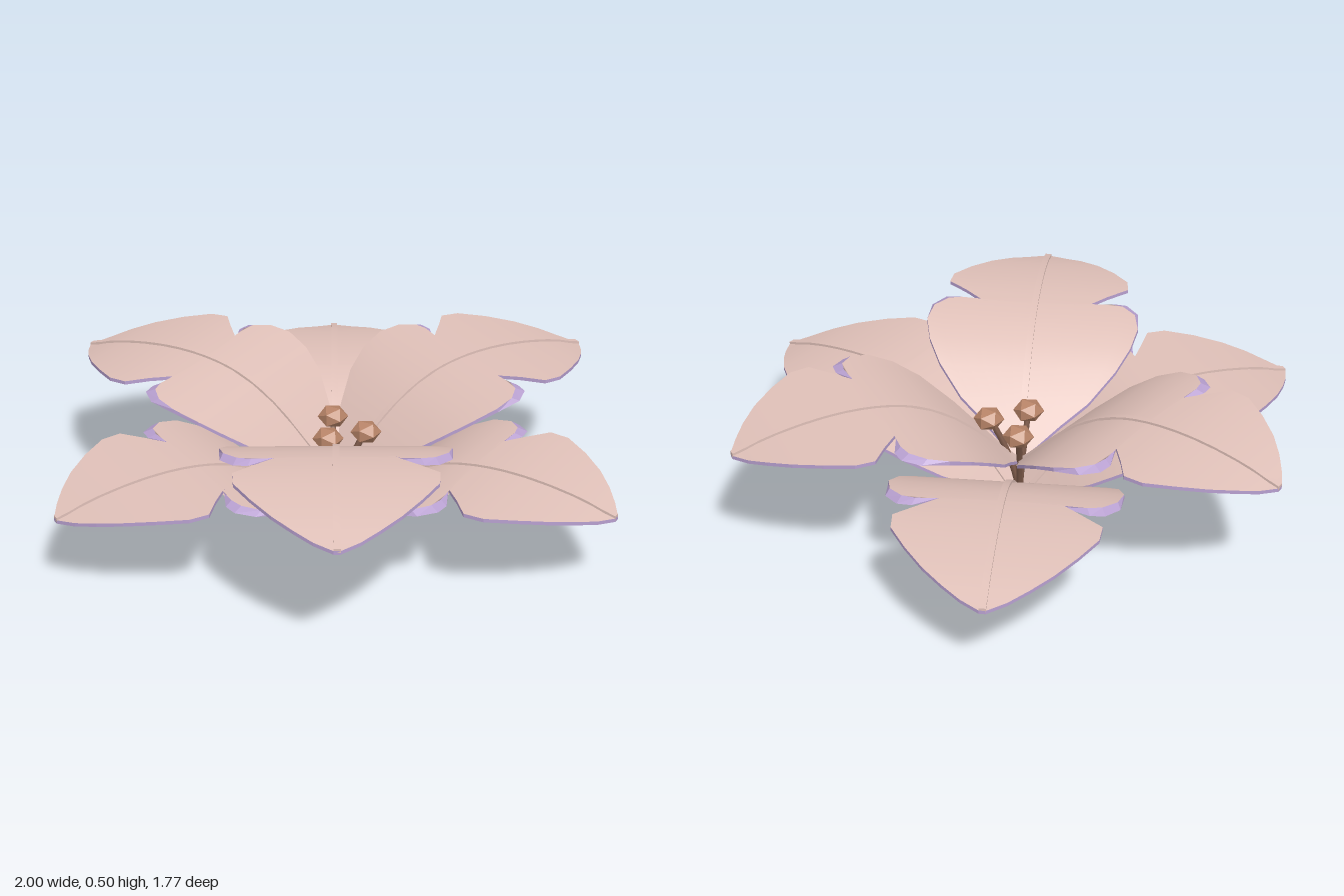
import * as THREE from 'three';

const mat = (name, color, side = THREE.FrontSide) => {
  const m = new THREE.MeshStandardMaterial({ color, side });
  m.name = name;
  return m;
};
const petalPink = mat('petalPink', 0xdfc0b8);
const rimLavender = mat('rimLavender', 0xb8a0d0, THREE.DoubleSide);
const antherBrown = mat('antherBrown', 0xb88468);
const filamentBrown = mat('filamentBrown', 0x7d5a4a);

// height of a petal along its length, in steps of a tenth
const heights = [0.012, 0.1, 0.195, 0.265, 0.31, 0.332, 0.34, 0.337, 0.325, 0.305, 0.275];
const profile = new THREE.SplineCurve(heights.map((y, i) => new THREE.Vector2(i / 10, y)));
const heightAt = (r) => profile.getPoint(Math.min(1, Math.max(0, r))).y;

// half a petal: [midrib distance, edge distance, edge half width, rim flare]
const petalSections = [
  [0, 0, 0.01, 0], [0.05, 0.04, 0.06, 0], [0.1, 0.09, 0.13, 0], [0.16, 0.15, 0.22, 0],
  [0.24, 0.24, 0.305, 0], [0.32, 0.32, 0.35, 0], [0.4, 0.4, 0.37, 0.004],
  [0.45, 0.47, 0.355, 0.025], [0.49, 0.515, 0.31, 0.03], [0.505, 0.525, 0.265, 0.025],
  [0.515, 0.51, 0.185, 0], [0.56, 0.575, 0.255, 0], [0.62, 0.63, 0.32, 0],
  [0.69, 0.695, 0.315, 0], [0.77, 0.78, 0.26, 0], [0.85, 0.86, 0.195, 0],
  [0.92, 0.92, 0.13, 0], [0.965, 0.965, 0.07, 0], [1, 1, 0.01, 0],
];
const ribSections = Array.from({ length: 21 }, (_, i) => {
  const r = 0.04 + 0.96 * i / 20;
  return [r, r, 0.011, 0];
});

function makeGeometry(points, index) {
  const g = new THREE.BufferGeometry();
  g.setAttribute('position', new THREE.Float32BufferAttribute(points, 3));
  g.setIndex(index);
  return g;
}

// curved sheet with an upper and a lower face, plus the strip around its edge
function sheet(sections, columns, lift, thickness) {
  const points = [], index = [];
  const stride = columns + 1, count = sections.length * stride;
  for (const drop of [0, thickness]) {
    for (const [rib, edge, width] of sections) {
      for (let j = 0; j <= columns; j++) {
        const t = (2 * j) / columns - 1;
        const r = rib + (edge - rib) * Math.abs(t);
        points.push(r, heightAt(r) + lift - drop, t * width);
      }
    }
  }
  for (let i = 0; i < sections.length - 1; i++) {
    for (let j = 0; j < columns; j++) {
      const a = i * stride + j, b = a + 1, c = a + stride, d = c + 1;
      index.push(a, b, c, b, d, c);
      index.push(a + count, c + count, b + count, b + count, c + count, d + count);
    }
  }
  const faces = makeGeometry(points, index);
  faces.computeVertexNormals();

  // edge strip runs out along one side, around the tip, and back
  const loop = [...sections.map((s) => [s, 1]), ...[...sections].reverse().map((s) => [s, -1])];
  const rimPoints = [], rimIndex = [];
  loop.forEach(([[, edge, width, flare], side], i) => {
    const y = heightAt(edge) + lift;
    rimPoints.push(edge, y, side * width);
    rimPoints.push(edge + flare, y - thickness, side * (width + flare * 0.4));
    const a = i * 2, b = ((i + 1) % loop.length) * 2;
    rimIndex.push(a, a + 1, b, b, a + 1, b + 1);
  });
  const rim = makeGeometry(rimPoints, rimIndex).toNonIndexed();
  rim.computeVertexNormals();
  return { faces, rim };
}

function add(parent, name, geometry, material) {
  const mesh = new THREE.Mesh(geometry, material);
  mesh.name = name;
  parent.add(mesh);
  return mesh;
}

export function createModel() {
  const flower = new THREE.Group();
  flower.name = 'flower';
  const blade = sheet(petalSections, 12, 0, 0.012);
  const rib = sheet(ribSections, 2, 0.008, 0.014);
  const ribSide = petalPink.clone();
  ribSide.side = THREE.DoubleSide;
  ribSide.name = 'ribPink';

  // two whorls of three petals, the upper one turned by half a step
  const whorls = [
    { name: 'lowerPetal', length: 1.013, y: 0, turn: 0 },
    { name: 'upperPetal', length: 0.987, y: 0.155, turn: Math.PI / 3 },
  ];
  for (const w of whorls) {
    for (let k = 0; k < 3; k++) {
      const petal = new THREE.Group();
      petal.name = w.name;
      add(petal, 'petalBlade', blade.faces, petalPink);
      add(petal, 'petalRim', blade.rim, rimLavender);
      add(petal, 'midrib', rib.faces, petalPink);
      add(petal, 'midribSides', rib.rim, ribSide);
      petal.position.set(-0.013, w.y, 0);
      petal.scale.set(w.length, 1, w.length);
      petal.rotation.y = w.turn + (k * Math.PI * 2) / 3;
      flower.add(petal);
    }
  }

  // three stamens
  const antherGeometry = new THREE.IcosahedronGeometry(0.052, 0);
  antherGeometry.computeVertexNormals();
  for (const [x, y, z] of [[-0.08, 0.325, -0.1], [0.07, 0.32, -0.06], [-0.01, 0.325, 0.055]]) {
    const stamen = new THREE.Group();
    stamen.name = 'stamen';
    const path = new THREE.QuadraticBezierCurve3(
      new THREE.Vector3(-0.013, 0.03, 0),
      new THREE.Vector3(-0.013 + x * 0.3, 0.2, z * 0.3),
      new THREE.Vector3(x, y, z));
    add(stamen, 'filament', new THREE.TubeGeometry(path, 8, 0.011, 6), filamentBrown);
    const anther = add(stamen, 'anther', antherGeometry, antherBrown);
    anther.position.set(x, y, z);
    anther.scale.y = 0.75;
    flower.add(stamen);
  }
  return flower;
}
